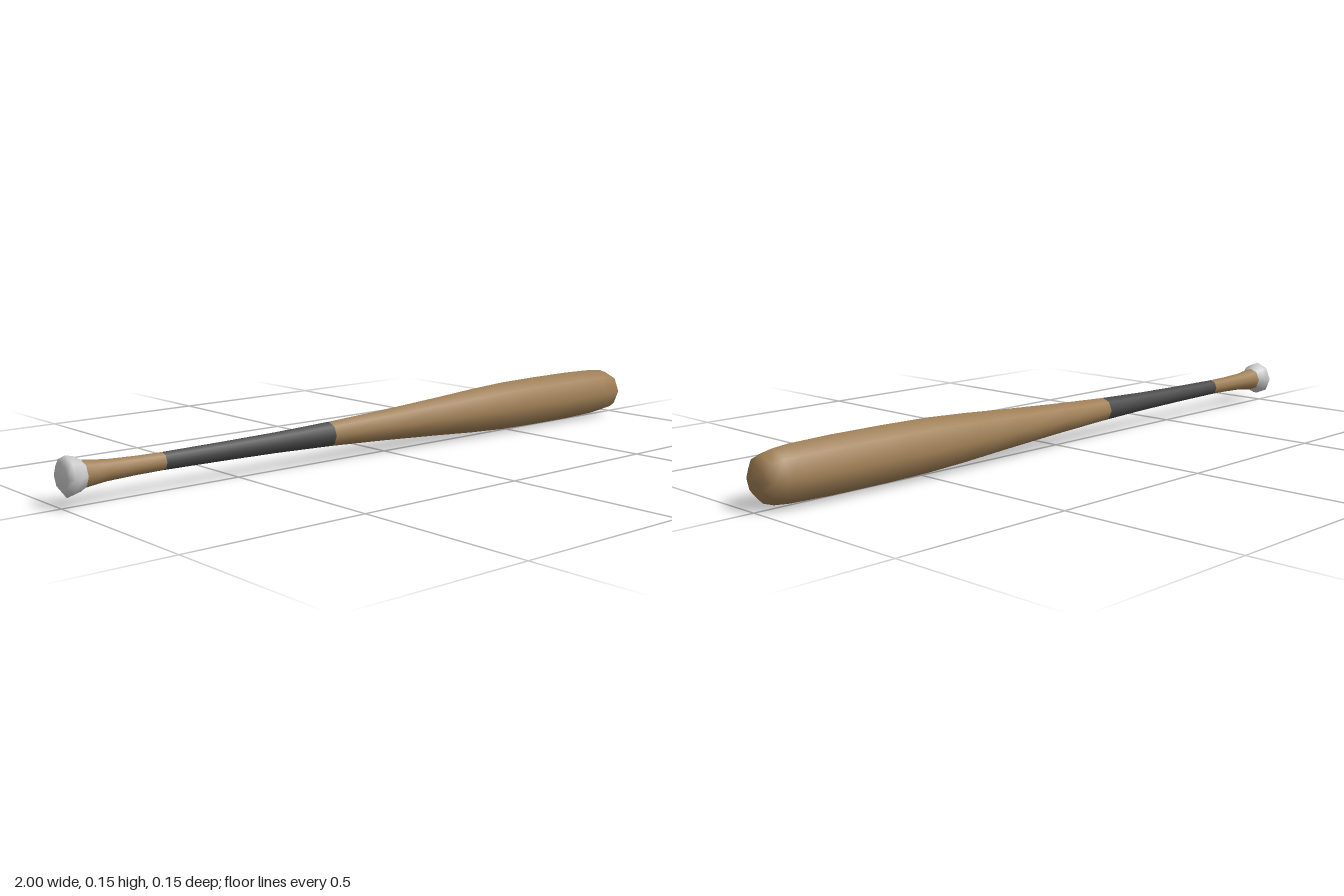
import * as THREE from 'three';

const SIDES = 8;
const AXIS_HEIGHT = 0.076;

// Profiles are lists of [position along the bat, radius]
const PARTS = [
  { name: 'knob', color: 0xcccccc, profile: [
    [-1, 0], [-0.998, 0.034], [-0.985, 0.051], [-0.965, 0.046], [-0.945, 0.035]] },
  { name: 'lowerHandle', color: 0xa07f55, profile: [
    [-0.945, 0.035], [-0.88, 0.027], [-0.8, 0.024], [-0.725, 0.023]] },
  { name: 'grip', color: 0x484848, profile: [
    [-0.725, 0.023], [-0.55, 0.025], [-0.38, 0.028], [-0.2, 0.034]] },
  { name: 'barrel', color: 0xa07f55, profile: [
    [-0.2, 0.034], [0, 0.044], [0.2, 0.056], [0.35, 0.066], [0.48, 0.0725], [0.62, 0.0745],
    [0.78, 0.0745], [0.9, 0.0715], [0.945, 0.067], [0.975, 0.057], [0.992, 0.036], [0.997, 0]] },
];

export function createModel() {
  const bat = new THREE.Group();
  bat.name = 'baseballBat';

  // Each part is turned around the long axis, then laid along x
  for (const { name, color, profile } of PARTS) {
    const points = profile.map(([along, radius]) => new THREE.Vector2(radius, along));
    const geometry = new THREE.LatheGeometry(points, SIDES);
    geometry.rotateZ(-Math.PI / 2);
    geometry.translate(0, AXIS_HEIGHT, 0);
    const mesh = new THREE.Mesh(geometry, new THREE.MeshStandardMaterial({ color }));
    mesh.name = name;
    bat.add(mesh);
  }
  return bat;
}
